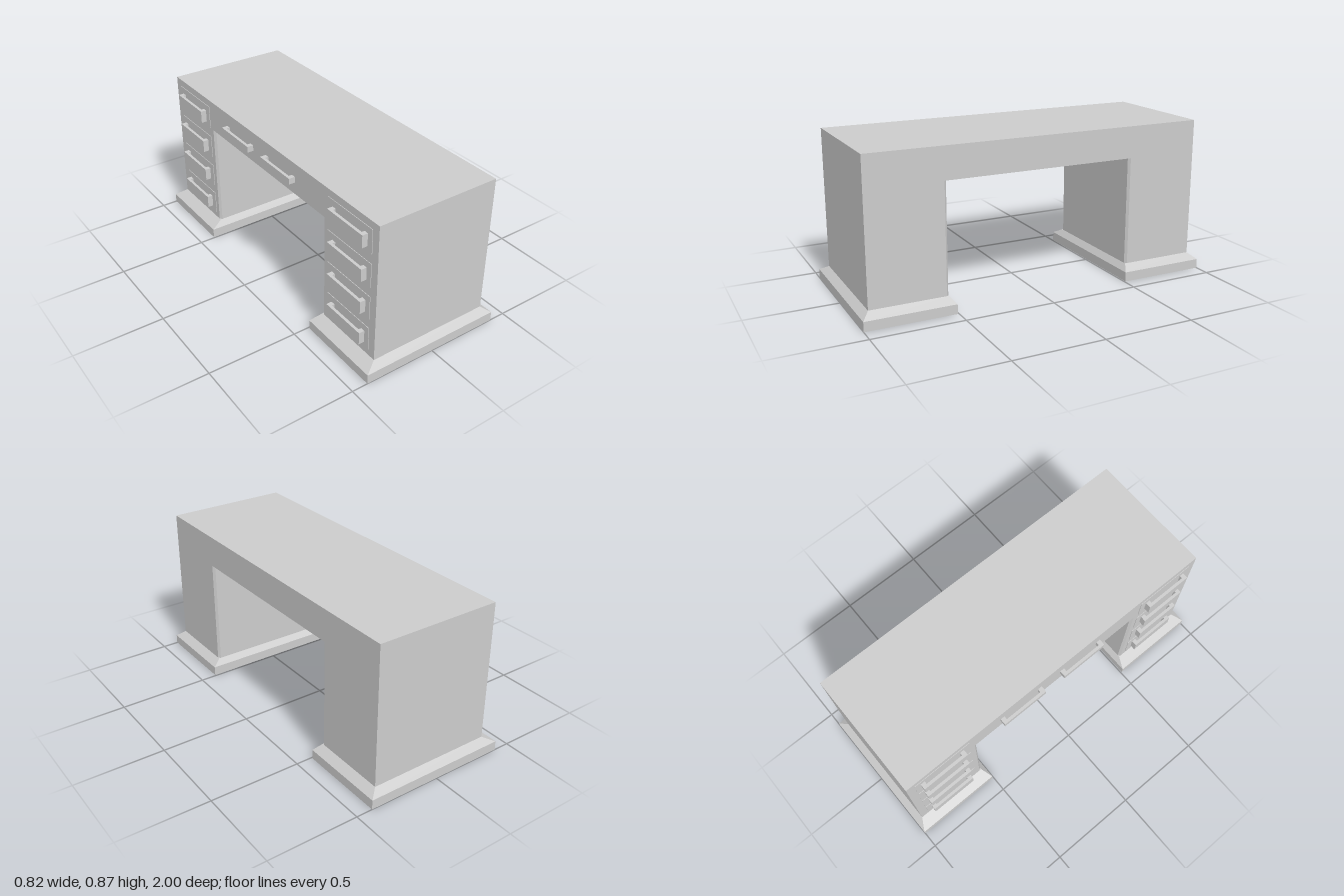
import * as THREE from 'three';

const X0 = -0.343, X1 = 0.362;      // body depth
const Z_IN = 0.533, Z_OUT = 0.96;   // pedestal extent along the desk
const Y_SKIRT = 0.087, Y_SLAB = 0.69, Y_TOP = 0.866;

export function createModel() {
  const desk = new THREE.Group();
  desk.name = 'desk';
  const material = new THREE.MeshStandardMaterial({ color: 0xcccccc, flatShading: true });

  const add = (name, geometry, parent = desk) => {
    const mesh = new THREE.Mesh(geometry, material);
    mesh.name = name;
    parent.add(mesh);
    return mesh;
  };
  const box = (name, x0, x1, y0, y1, z0, z1, parent) => {
    const mesh = add(name, new THREE.BoxGeometry(x1 - x0, y1 - y0, z1 - z0), parent);
    mesh.position.set((x0 + x1) / 2, (y0 + y1) / 2, (z0 + z1) / 2);
    return mesh;
  };
  // Extrudes a plan outline of [x, z] points from y0 up to y1
  const prism = (name, outline, y0, y1, parent) => {
    const shape = new THREE.Shape(outline.map(([x, z]) => new THREE.Vector2(x, -z)));
    const geometry = new THREE.ExtrudeGeometry(shape, { depth: y1 - y0, bevelEnabled: false });
    geometry.rotateX(-Math.PI / 2).translate(0, y0, 0);
    return add(name, geometry, parent);
  };
  // Joins stacked rectangles [x0, x1, z0, z1, y] into a closed solid
  const stack = (name, rings, parent) => {
    const points = [], index = [];
    for (const [x0, x1, z0, z1, y] of rings) {
      points.push(x0, y, z1, x1, y, z1, x1, y, z0, x0, y, z0);
    }
    for (let r = 0; r < rings.length - 1; r++) {
      for (let i = 0; i < 4; i++) {
        const a = r * 4 + i, b = r * 4 + (i + 1) % 4;
        index.push(a, b, b + 4, a, b + 4, a + 4);
      }
    }
    const t = (rings.length - 1) * 4;
    index.push(0, 2, 1, 0, 3, 2, t, t + 1, t + 2, t, t + 2, t + 3);
    const geometry = new THREE.BufferGeometry();
    geometry.setAttribute('position', new THREE.Float32BufferAttribute(points, 3));
    geometry.setIndex(index);
    const flat = geometry.toNonIndexed();
    flat.computeVertexNormals();
    return add(name, flat, parent);
  };
  // U-shaped pull handle standing off the drawer side
  const handle = (zMid, y0, y1, parent) => {
    const out = -0.378, bar = -0.362, h = 0.135, leg = 0.025;
    prism('handle', [
      [X0, zMid - h], [out, zMid - h], [out, zMid + h], [X0, zMid + h],
      [X0, zMid + h - leg], [bar, zMid + h - leg], [bar, zMid - h + leg], [X0, zMid - h + leg],
    ], y0, y1, parent);
  };

  // Desktop slab spanning both pedestals
  box('desktop', X0, X1, Y_SLAB, Y_TOP, -Z_OUT, Z_OUT);

  for (const s of [-1, 1]) {
    const pedestal = new THREE.Group();
    pedestal.name = s > 0 ? 'frontPedestal' : 'backPedestal';
    desk.add(pedestal);

    // Cabinet with small chamfers on the kneehole corners
    const c = 0.012;
    prism('cabinet', [
      [X0, s * Z_OUT], [X1, s * Z_OUT], [X1, s * (Z_IN + c)],
      [X1 - c, s * Z_IN], [X0 + c, s * Z_IN], [X0, s * (Z_IN + c)],
    ], 0.06, Y_SLAB, pedestal);

    // Plinth with a sloped shoulder
    const span = (a, b) => (s > 0 ? [a, b] : [-b, -a]);
    stack('plinth', [
      [-0.41, 0.409, ...span(0.507, 1), 0],
      [-0.41, 0.409, ...span(0.507, 1), 0.053],
      [X0, X1, ...span(Z_IN, Z_OUT), Y_SKIRT],
    ], pedestal);

    // Four drawers with pulls
    for (let i = 0; i < 4; i++) {
      const y = 0.12 + i * 0.19;
      box('drawerFront', X0 - 0.003, X0 + 0.005, y, y + 0.135, ...span(0.575, 0.915), pedestal);
      handle(s * 0.748, y + 0.028, y + 0.098, pedestal);
    }
  }

  // Slim pulls above the kneehole
  for (const z of [-0.24, 0.155]) handle(z, 0.757, 0.79, desk);

  return desk;
}
